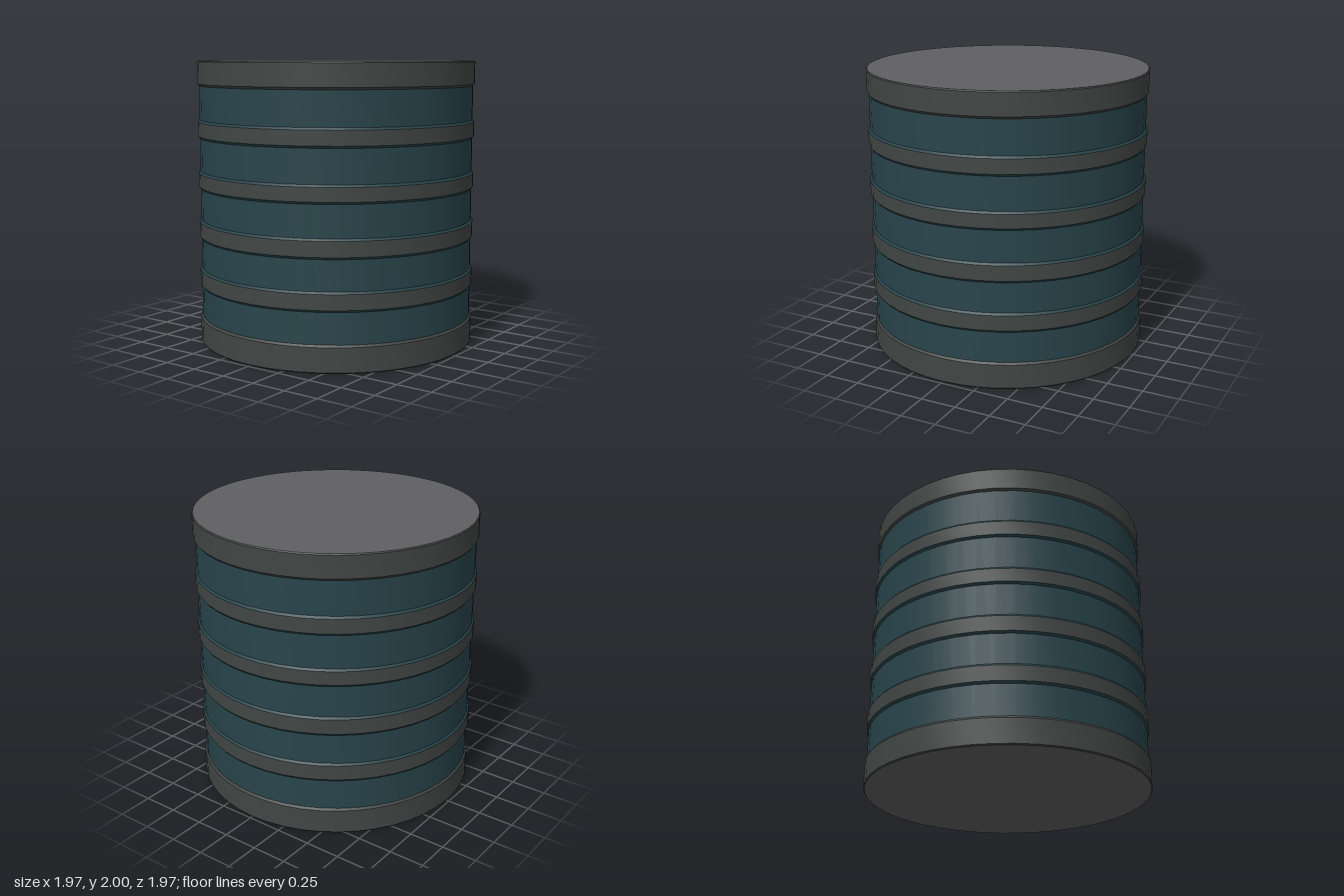
import * as THREE from 'three';
import { toCreasedNormals } from 'three/addons/utils/BufferGeometryUtils.js';

const SEGMENTS = 48;
const BODY_R = 0.973;
const BAND_R = 0.985;

function material(name, color) {
  const m = new THREE.MeshStandardMaterial({ color });
  m.name = name;
  return m;
}

// Turned part from [radius, height] pairs, listed bottom to top
function turned(name, profile, mat) {
  const points = profile.map(([r, y]) => new THREE.Vector2(r, y));
  const mesh = new THREE.Mesh(toCreasedNormals(new THREE.LatheGeometry(points, SEGMENTS), 0.4), mat);
  mesh.name = name;
  return mesh;
}

// Flat disc facing up (+1) or down (-1)
function disc(name, y, direction, mat) {
  const mesh = new THREE.Mesh(new THREE.CircleGeometry(BAND_R - 0.006, SEGMENTS), mat);
  mesh.rotation.x = -direction * Math.PI / 2;
  mesh.position.y = y;
  mesh.name = name;
  return mesh;
}

export function createModel() {
  const group = new THREE.Group();
  group.name = 'drum';
  const teal = material('dark teal', 0x28444b);
  const bandGrey = material('dark band grey', 0x414644);
  const capGrey = material('cap grey', 0x606062);

  // Wall between the two rims
  group.add(turned('wall', [[BODY_R, 0.17], [BODY_R, 1.85]], teal));

  // Raised hoops: grey outer face with teal sloping shoulders
  const hoops = [[0.42, 0.525], [0.765, 0.87], [1.12, 1.215], [1.475, 1.575]];
  for (const [low, high] of hoops) {
    group.add(turned('hoop', [[BAND_R, low], [BAND_R, high]], bandGrey));
    group.add(turned('lowerShoulder', [[BODY_R, low - 0.015], [BAND_R, low]], teal));
    group.add(turned('upperShoulder', [[BAND_R, high], [BODY_R, high + 0.015]], teal));
  }

  // Bottom and top rims
  group.add(turned('bottomRim', [[BAND_R - 0.006, 0], [BAND_R, 0.008], [BAND_R, 0.175], [BODY_R, 0.19]], bandGrey));
  group.add(turned('topRim', [[BODY_R, 1.825], [BAND_R, 1.84], [BAND_R, 1.992], [BAND_R - 0.006, 2]], bandGrey));

  // End caps
  group.add(disc('lid', 2, 1, capGrey));
  group.add(disc('base', 0, -1, capGrey));
  return group;
}
